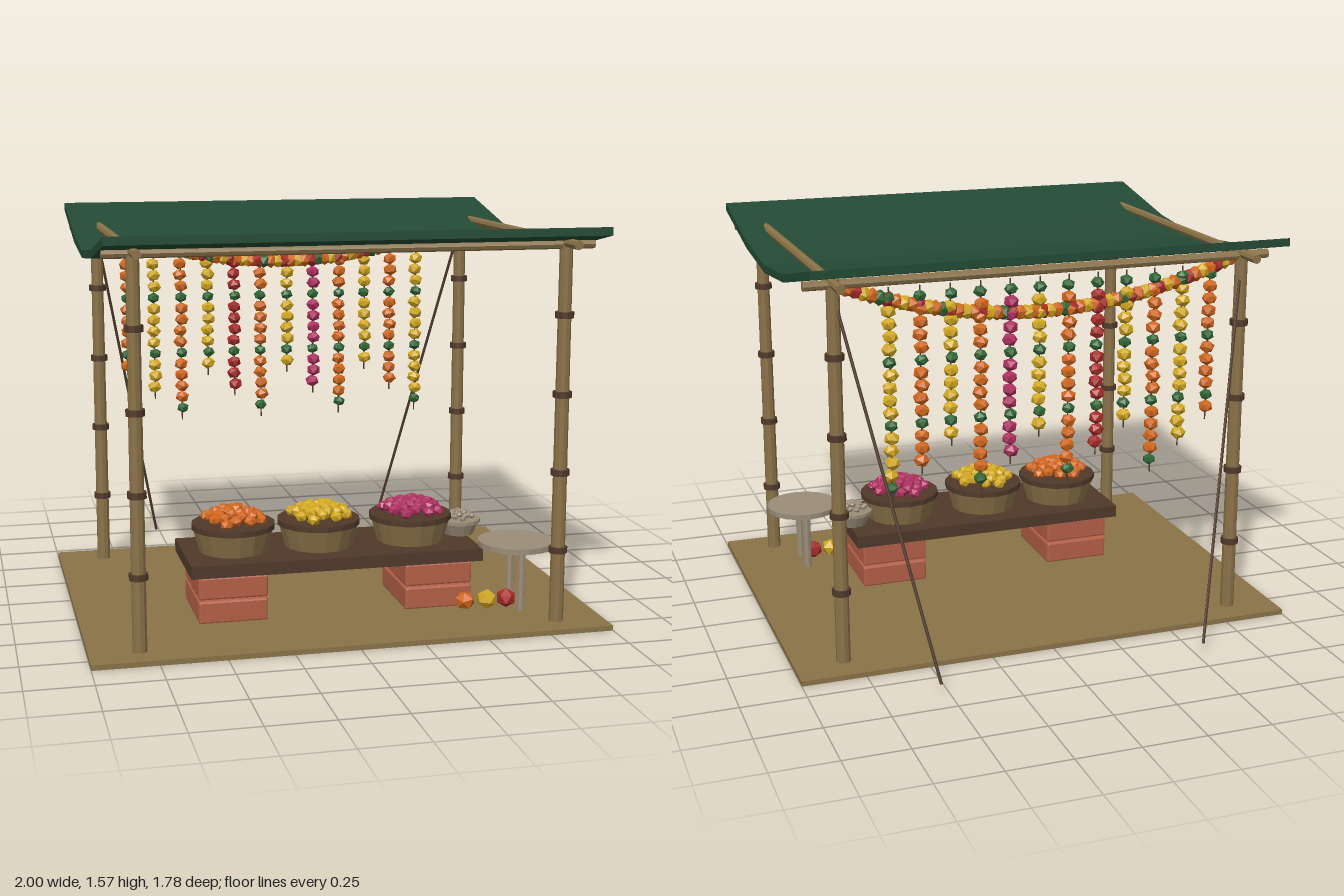
import * as THREE from 'three';
import { mergeGeometries } from 'three/addons/utils/BufferGeometryUtils.js';
import { RoundedBoxGeometry } from 'three/addons/geometries/RoundedBoxGeometry.js';

const mat = (name, color) => {
  const m = new THREE.MeshStandardMaterial({ color, flatShading: true });
  m.name = name;
  return m;
};

export function createModel() {
  const M = {
    bamboo: mat('bamboo', 0x8a7248),
    wood: mat('dark wood', 0x50392a),
    cloth: mat('canopy green', 0x234a34),
    leaf: mat('leaf green', 0x2f6634),
    orange: mat('marigold orange', 0xd0661c),
    yellow: mat('marigold yellow', 0xd2a81e),
    red: mat('flower red', 0xa82c2a),
    pink: mat('flower pink', 0xae2f60),
    brick: mat('brick', 0xb35f47),
    grey: mat('weathered grey', 0x9a8c78),
  };
  const root = new THREE.Group();
  const add = (name, geo, material, x = 0, y = 0, z = 0, parent = root) => {
    const mesh = new THREE.Mesh(geo, material);
    mesh.name = name;
    mesh.position.set(x, y, z);
    parent.add(mesh);
    return mesh;
  };
  const group = (name) => {
    const g = new THREE.Group();
    g.name = name;
    root.add(g);
    return g;
  };
  // cylinder between two points
  const rod = (name, a, b, r, material, sides = 8, parent = root) => {
    const p = new THREE.Vector3(...a), q = new THREE.Vector3(...b);
    const mesh = add(name, new THREE.CylinderGeometry(r, r, p.distanceTo(q), sides), material, 0, 0, 0, parent);
    mesh.position.addVectors(p, q).multiplyScalar(0.5);
    mesh.quaternion.setFromUnitVectors(new THREE.Vector3(0, 1, 0), q.sub(p).normalize());
  };
  let seed = 7;
  const rand = () => (seed = (seed * 16807) % 2147483647) / 2147483647;

  // faceted blossom, turned at random, slightly squashed
  const blossom = (x, y, z, r, squash = 0.85) => new THREE.IcosahedronGeometry(r, 0)
    .rotateX(rand() * 6).rotateY(rand() * 6).scale(1, squash, 1).translate(x, y, z);
  // collects blossoms by colour and makes one mesh for each colour
  const bunch = (name, parent) => {
    const lists = {};
    return {
      put: (colour, geo) => (lists[colour] ??= []).push(geo),
      finish: () => Object.entries(lists).forEach(([c, l]) => add(`${name} ${c}`, mergeGeometries(l), M[c], 0, 0, 0, parent)),
    };
  };

  // floor
  add('floor', new THREE.BoxGeometry(2, 0.02, 1.51), M.bamboo, 0, 0.01, 0.095);

  // bamboo posts with node rings
  const frame = group('frame');
  for (const x of [-0.81, 0.81]) for (const z of [0.735, -0.535]) {
    add('post', new THREE.CylinderGeometry(0.025, 0.028, 1.48, 10), M.bamboo, x, 0.76, z, frame);
    for (const y of [0.305, 0.61, 0.912, 1.215])
      add('postRing', new THREE.CylinderGeometry(0.036, 0.036, 0.024, 10), M.wood, x, y, z, frame);
  }
  // beams
  for (const x of [-0.81, 0.81]) rod('sideBeam', [x, 1.486, -0.66], [x, 1.486, 0.86], 0.018, M.bamboo, 8, frame);
  for (const z of [0.735, -0.535]) rod('crossBeam', [-0.92, 1.48, z], [0.92, 1.48, z], 0.018, M.bamboo, 8, frame);
  // guy ropes
  for (const s of [-1, 1]) rod('guyRope', [s * 0.81, 1.45, -0.535], [s * 0.53, 0.04, -0.888], 0.006, M.wood, 6, frame);

  // sagging canopy
  const sag = [[0.89, 1.553], [0.446, 1.467], [0.098, 1.436], [-0.25, 1.468], [-0.695, 1.567]];
  const outline = [...sag, ...sag.map(([z, y]) => [z, y - 0.031]).reverse()];
  const canopy = new THREE.ExtrudeGeometry(
    new THREE.Shape(outline.map(([z, y]) => new THREE.Vector2(z, y))), { depth: 1.856, bevelEnabled: false });
  canopy.rotateY(-Math.PI / 2).translate(0.928, 0, 0);
  add('canopy', canopy, M.cloth);

  // hanging flower strings
  const strings = group('flowerStrings');
  const beads = bunch('stringFlowers', strings);
  const colours = ['orange', 'yellow', 'orange', 'yellow', 'red', 'orange', 'yellow', 'pink', 'orange', 'yellow', 'orange', 'yellow'];
  colours.forEach((colour, i) => {
    const x = -0.69 + i * 0.117, count = [12, 14, 16][i % 3];
    for (let k = 0; k < count; k++)
      beads.put(k % 5 === 0 ? 'leaf' : colour,
        blossom(x + (rand() - 0.5) * 0.008, 1.41 - k * 0.0485, -0.51, k % 5 === 0 ? 0.027 : 0.031));
    rod('string', [x, 1.45, -0.51], [x, 1.41 - count * 0.0485 - 0.005, -0.51], 0.003, M.wood, 5, strings);
  });
  beads.finish();

  // swag garland along the back beam
  const swag = bunch('swagFlowers', group('swag'));
  const cycle = ['orange', 'yellow', 'red', 'orange', 'yellow', 'orange', 'red', 'leaf'];
  for (let i = 0; i <= 52; i++) {
    const x = -0.78 + i * 0.03;
    swag.put(cycle[i % 8], blossom(x, 1.315 + 0.15 * (x / 0.78) ** 2, -0.505, 0.031, 1));
  }
  swag.finish();

  // bench on brick stacks
  const bench = group('bench');
  add('benchPlank', new THREE.BoxGeometry(1.165, 0.05, 0.424), M.wood, 0, 0.237, 0.307, bench);
  for (const x of [-0.413, 0.413]) for (const y of [0.063, 0.158])
    add('brick', new RoundedBoxGeometry(0.273, 0.09, 0.345, 1, 0.008), M.brick, x, y, 0.307, bench);

  // baskets heaped with flowers
  const heap = (name, colour, x, y, z, radius, r, count, parent) => {
    const pile = bunch(name, parent);
    for (let i = 0; i < count; i++) {
      const d = Math.sqrt((i + 0.5) / count), a = i * 2.4;
      pile.put(colour, blossom(x + Math.cos(a) * d * radius, y + radius * 0.28 * (1 - d * d) + rand() * 0.008,
        z + Math.sin(a) * d * radius, r));
    }
    pile.finish();
  };
  [['orange', -0.382], ['yellow', -0.037], ['pink', 0.342]].forEach(([colour, x]) => {
    const g = group('flowerBasket');
    add('basketBody', new THREE.CylinderGeometry(0.135, 0.16, 0.09, 16).rotateX(Math.PI), M.bamboo, x, 0.307, 0.305, g);
    add('basketRim', new THREE.CylinderGeometry(0.166, 0.166, 0.022, 16), M.wood, x, 0.362, 0.305, g);
    heap('heapedFlowers', colour, x, 0.385, 0.305, 0.115, 0.027, 30, g);
  });

  // small bowl at the bench end
  const bowl = group('bowl');
  add('bowlBody', new THREE.CylinderGeometry(0.08, 0.06, 0.05, 14), M.grey, 0.562, 0.287, 0.268, bowl);
  add('bowlRim', new THREE.CylinderGeometry(0.087, 0.087, 0.014, 14), M.grey, 0.562, 0.318, 0.268, bowl);
  heap('bowlHeap', 'grey', 0.562, 0.33, 0.268, 0.06, 0.014, 20, bowl);

  // round stool
  const stool = group('stool');
  add('stoolSeat', new THREE.CylinderGeometry(0.152, 0.152, 0.022, 18), M.grey, 0.722, 0.277, 0.51, stool);
  for (const z of [0.445, 0.579])
    add('stoolLeg', new THREE.CylinderGeometry(0.017, 0.017, 0.248, 8), M.grey, 0.722, 0.144, z, stool);

  // loose blossoms on the floor
  [['orange', 0.505], ['yellow', 0.596], ['red', 0.676]].forEach(([colour, x]) =>
    add('looseBlossom', blossom(0, 0, 0, 0.041, 0.95), M[colour], x, 0.059, 0.535));

  return root;
}
